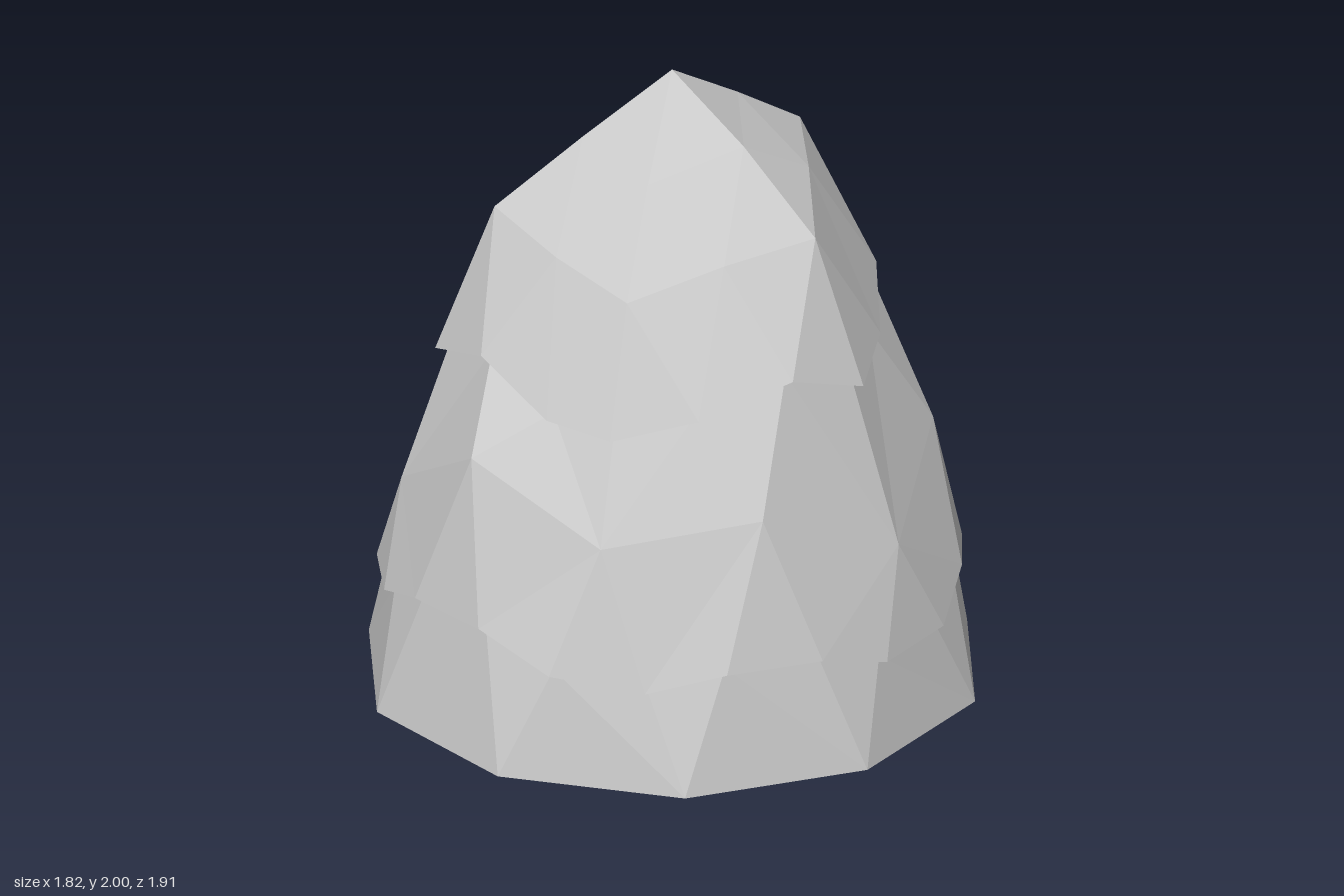
import * as THREE from 'three';

const angle = ([x, , z]) => (Math.atan2(x, z) + 2 * Math.PI) % (2 * Math.PI);
const polar = (deg, r, y) => {
  const a = THREE.MathUtils.degToRad(deg);
  return [r * Math.sin(a), y, r * Math.cos(a)];
};
// Sort a ring of points counter-clockwise, starting at the front
const ring = (points) => [...points].sort((a, b) => angle(a) - angle(b));
// Copy of a ring pulled in towards the axis and raised a little
const inset = (points, s, dy) => points.map(([x, y, z]) => [x * s, y + dy, z * s]);

// Join two rings of any point counts with a band of triangles
function stitch(lo, up, out) {
  const at = (r, i) => angle(r[i % r.length]) + 2 * Math.PI * Math.floor(i / r.length);
  const n = lo.length, m = up.length > 1 ? up.length : 0;
  let i = 0, j = 0;
  while (i < n || j < m) {
    const a = lo[i % n], b = up[j % up.length];
    const stepLow = j >= m || (i < n && at(lo, i) + at(lo, i + 1) < at(up, j) + at(up, j + 1));
    if (stepLow) out.push(...a, ...lo[++i % n], ...b);
    else out.push(...a, ...up[++j % up.length], ...b);
  }
}

function tier(name, rings, material) {
  const pos = [];
  for (let k = 0; k + 1 < rings.length; k++) stitch(rings[k], rings[k + 1], pos);
  const geo = new THREE.BufferGeometry();
  geo.setAttribute('position', new THREE.Float32BufferAttribute(pos, 3));
  geo.computeVertexNormals();
  const mesh = new THREE.Mesh(geo, material);
  mesh.name = name;
  return mesh;
}

export function createModel() {
  const material = new THREE.MeshStandardMaterial({
    color: 0xcccccc, flatShading: true, side: THREE.DoubleSide,
  });

  // Ten-sided open base
  const base = ring(Array.from({ length: 10 }, (_, k) => polar(k * 36, 0.957, 0)));

  // Wavy lower edge of the middle tier
  const middleRim = ring([
    [0.13, 0.30, 0.89], [0.42, 0.305, 0.80], [0.61, 0.40, 0.65], [0.80, 0.36, 0.41],
    [0.89, 0.315, 0.18], [0.89, 0.31, -0.16], [0.80, 0.34, -0.40], [0.63, 0.345, -0.65],
    [0.43, 0.32, -0.81], [0.13, 0.32, -0.91], [-0.12, 0.36, -0.89], [-0.42, 0.38, -0.80],
    [-0.63, 0.32, -0.65], [-0.80, 0.34, -0.40], [-0.87, 0.42, -0.16], [-0.87, 0.43, 0.15],
    [-0.81, 0.35, 0.42], [-0.62, 0.32, 0.65], [-0.42, 0.38, 0.80], [-0.12, 0.375, 0.89],
  ]);
  const middleRimInner = inset(middleRim, 0.962, 0.01);

  // Uneven belt of the middle tier: heights every 36 degrees
  const belt = ring([0.62, 0.82, 0.6, 0.8, 0.76, 0.81, 0.65, 0.92, 0.75, 0.83]
    .map((y, k) => polar(18 + k * 36, 0.93 - 0.165 * y, y)));

  // Wavy lower edge of the top tier
  const topRim = ring([
    [0.22, 1.115, 0.66], [0.42, 1.175, 0.49], [0.61, 1.265, 0.23], [0.71, 1.085, -0.03],
    [0.57, 1.14, -0.28], [0.42, 1.04, -0.50], [0.23, 1.03, -0.70], [-0.05, 1.10, -0.68],
    [-0.34, 1.12, -0.58], [-0.57, 1.07, -0.44], [-0.63, 1.17, -0.14], [-0.63, 1.07, 0.18],
    [-0.56, 1.06, 0.405], [-0.34, 1.12, 0.56], [-0.05, 1.205, 0.655],
  ]);
  const topRimInner = inset(topRim, 0.94, 0.012);

  // Shoulder, upper facets and tip
  const shoulder = ring([
    [0.16, 1.57, 0.50], [0.34, 1.665, 0.24], [0.52, 1.68, -0.03], [0.36, 1.58, -0.29],
    [0.165, 1.46, -0.52], [-0.14, 1.53, -0.44], [-0.435, 1.55, -0.32], [-0.45, 1.50, 0],
    [-0.42, 1.45, 0.31], [-0.13, 1.53, 0.42],
  ]);
  const crown = ring([
    [0.08, 1.81, 0.25], [0.27, 1.84, -0.02], [0.08, 1.75, -0.26],
    [-0.22, 1.78, -0.16], [-0.22, 1.735, 0.16],
  ]);
  const tip = [[0, 2, 0]];

  const group = new THREE.Group();
  group.name = 'tieredBush';
  group.add(
    tier('bottomTier', [base, middleRimInner], material),
    tier('middleTier', [middleRimInner, middleRim, belt, topRimInner], material),
    tier('topTier', [topRimInner, topRim, shoulder, crown, tip], material),
  );
  return group;
}
